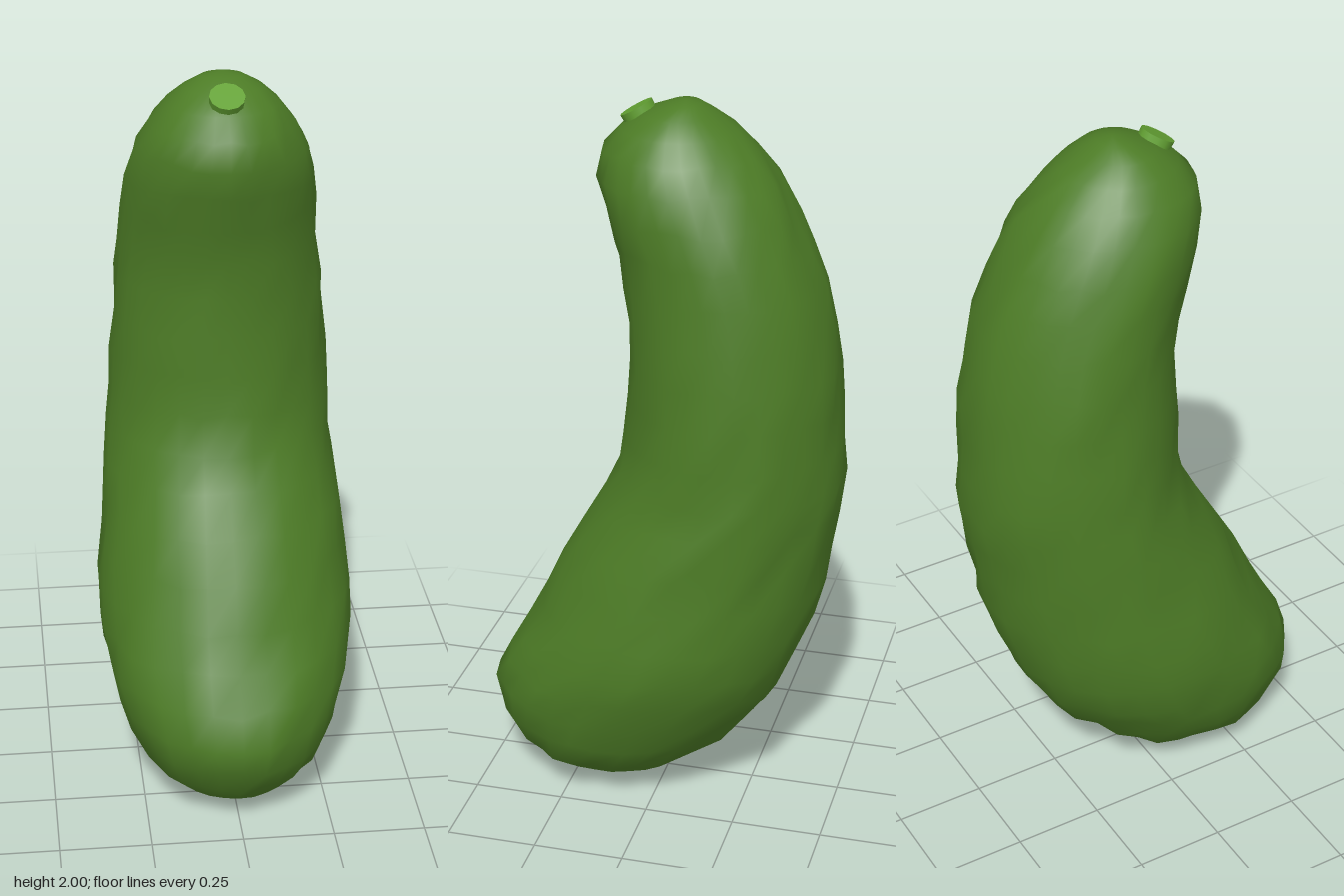
import * as THREE from 'three';

const SIDES = 28;

// Body slices: height, front z, back z, half width
const SLICES = [
  [0.006, 0.25, 0.11, 0.05], [0.022, 0.32, 0.0, 0.11], [0.06, 0.39, -0.05, 0.18],
  [0.11, 0.44, -0.115, 0.24], [0.19, 0.485, -0.215, 0.285], [0.27, 0.495, -0.28, 0.315],
  [0.36, 0.46, -0.345, 0.342], [0.45, 0.41, -0.38, 0.355], [0.55, 0.355, -0.41, 0.355],
  [0.66, 0.3, -0.44, 0.34], [0.77, 0.245, -0.457, 0.33], [0.88, 0.185, -0.472, 0.318],
  [0.98, 0.13, -0.485, 0.308], [1.08, 0.112, -0.486, 0.303], [1.19, 0.102, -0.476, 0.298],
  [1.3, 0.1, -0.467, 0.29], [1.41, 0.101, -0.452, 0.28], [1.52, 0.112, -0.422, 0.268],
  [1.62, 0.135, -0.385, 0.26], [1.71, 0.165, -0.345, 0.25], [1.8, 0.182, -0.295, 0.232],
  [1.87, 0.17, -0.24, 0.19], [1.925, 0.125, -0.185, 0.15], [1.965, 0.065, -0.125, 0.105],
  [1.99, 0.0, -0.085, 0.055],
];

function seeded(seed) {
  return () => {
    seed = (seed * 16807) % 2147483647;
    return seed / 2147483647 - 0.5;
  };
}

// Closed skin through the slices, roughened by small bumps
function bodyGeometry() {
  const rand = seeded(4217);
  const pos = [], index = [];
  SLICES.forEach(([y, front, back, width]) => {
    const mid = (front + back) / 2, depth = (front - back) / 2;
    const rough = Math.min(1, width / 0.25);
    for (let j = 0; j < SIDES; j++) {
      const a = (j / SIDES) * Math.PI * 2;
      const bump = 1 + rand() * 0.055 * rough;
      const lift = rand() * 0.02 * rough * (y > 0.1 && y < 1.9 ? 1 : 0);
      pos.push(Math.sin(a) * width * bump, y + lift, mid + Math.cos(a) * depth * bump);
    }
  });
  const rows = SLICES.length;
  for (let i = 0; i < rows - 1; i++) {
    for (let j = 0; j < SIDES; j++) {
      const k = (j + 1) % SIDES;
      const a = i * SIDES + j, b = i * SIDES + k;
      const c = a + SIDES, d = b + SIDES;
      index.push(a, b, d, a, d, c);
    }
  }
  // Close both ends
  const bottom = pos.length / 3, top = bottom + 1, last = (rows - 1) * SIDES;
  pos.push(0, 0, 0.18, 0, 2, -0.045);
  for (let j = 0; j < SIDES; j++) {
    const k = (j + 1) % SIDES;
    index.push(bottom, k, j, top, last + j, last + k);
  }
  const g = new THREE.BufferGeometry();
  g.setAttribute('position', new THREE.Float32BufferAttribute(pos, 3));
  g.setIndex(index);
  g.computeVertexNormals();
  return g;
}

export function createModel() {
  const skin = new THREE.MeshStandardMaterial({ name: 'skin green', color: 0x4d7c26 });
  const stemGreen = new THREE.MeshStandardMaterial({ name: 'stem green', color: 0x62a032 });
  const model = new THREE.Group();
  model.name = 'cucumber';

  const body = new THREE.Mesh(bodyGeometry(), skin);
  body.name = 'body';
  model.add(body);

  // Short stem stub leaning forward
  const stem = new THREE.Mesh(new THREE.CylinderGeometry(0.047, 0.042, 0.09, 12), stemGreen);
  stem.name = 'stem';
  stem.position.set(0, 1.93, 0.065);
  stem.rotation.x = 0.52;
  model.add(stem);

  return model;
}
